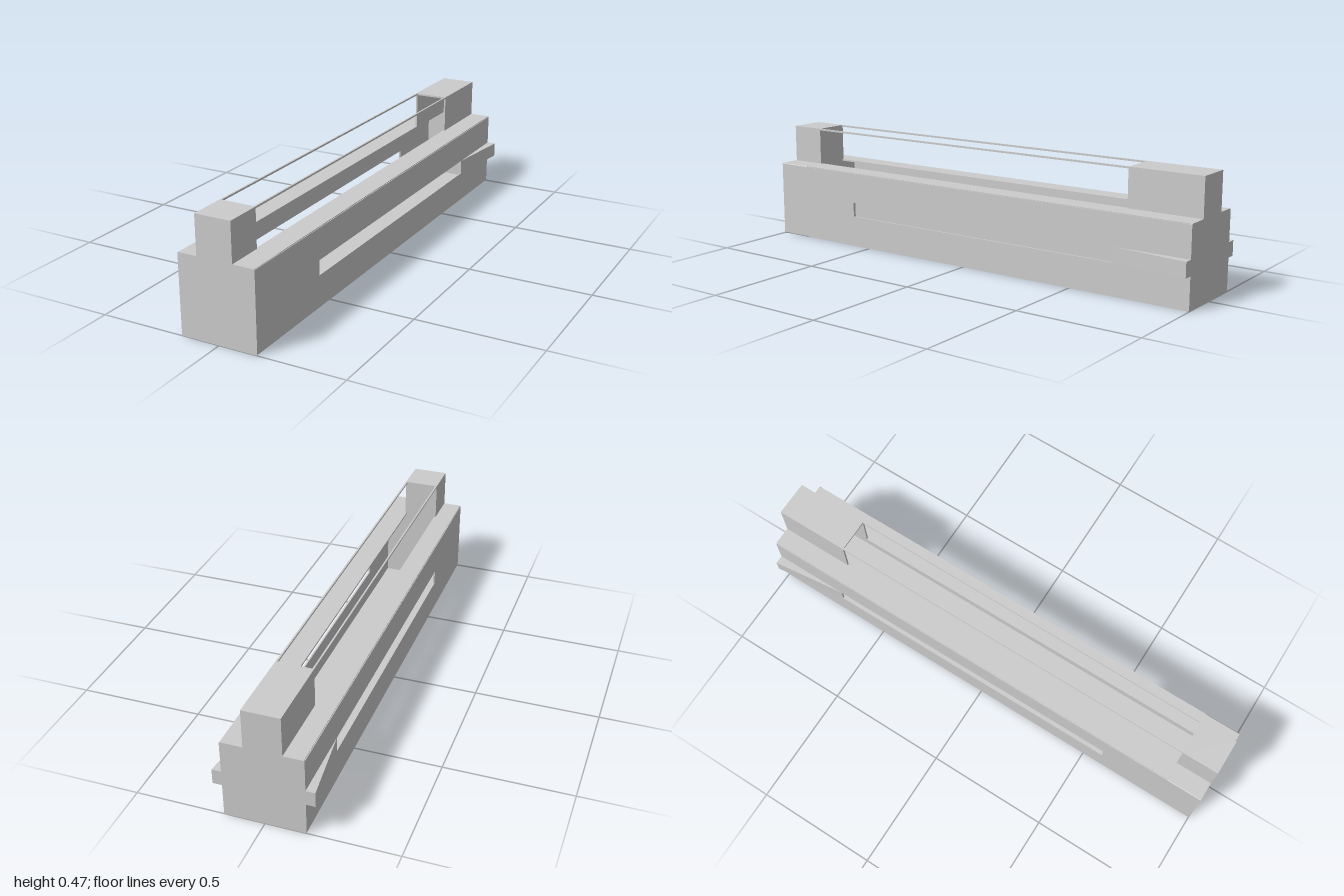
import * as THREE from 'three';

const material = new THREE.MeshStandardMaterial({ color: 0xcccccc, flatShading: true });

// Main dimensions
const W = 0.156, H = 0.318, TOP = 0.473;   // body half width, body height, full height
const X0 = -0.077, X1 = 0.068;             // raised section, slightly off centre
const T = 0.007;                           // wall thickness
const FRONT = 0.85, HOOD = -0.695;         // ends of the long top window
const SLOT = { y0: 0.13, y1: 0.19, z0: -0.69, z1: 0.58 };

export function createModel() {
  const model = new THREE.Group();
  model.name = 'slottedHousing';

  const add = (name, geometry) => {
    const mesh = new THREE.Mesh(geometry, material);
    mesh.name = name;
    model.add(mesh);
    return mesh;
  };

  // Box given by its two extreme corners
  const box = (name, x0, x1, y0, y1, z0, z1) =>
    add(name, new THREE.BoxGeometry(x1 - x0, y1 - y0, z1 - z0))
      .position.set((x0 + x1) / 2, (y0 + y1) / 2, (z0 + z1) / 2);

  const polygon = (points) => new THREE.Shape(points.map(([x, y]) => new THREE.Vector2(x, y)));
  const extrude = (shape, depth) => new THREE.ExtrudeGeometry(shape, { depth, bevelEnabled: false });

  // End pieces share the stepped cross-section, with tiny chamfers on the body
  const c = 0.003;
  const section = polygon([
    [-W + c, 0], [W - c, 0], [W, c], [W, H - c], [W - c, H], [X1, H], [X1, TOP],
    [X0, TOP], [X0, H], [-W + c, H], [-W, H - c], [-W, c],
  ]);
  add('frontBlock', extrude(section, 1 - FRONT)).position.z = FRONT;
  add('backWall', extrude(section, T)).position.z = -1;

  // Hollow body: floor, slotted side walls and top ledges
  const zBack = -1 + T;
  box('floor', -W + c, W - c, 0, T, zBack, FRONT);

  const wall = polygon([[zBack, c], [FRONT, c], [FRONT, H - c], [zBack, H - c]]);
  wall.holes.push(polygon([
    [SLOT.z0, SLOT.y0], [SLOT.z0, SLOT.y1], [SLOT.z1, SLOT.y1], [SLOT.z1, SLOT.y0],
  ]));
  for (const [side, x] of [['left', W], ['right', -W + T]]) {
    const mesh = add(side + 'Wall', extrude(wall, T));
    mesh.rotation.y = -Math.PI / 2;
    mesh.position.x = x;
  }
  box('leftLedge', X1 - T, W - c, H - T, H, zBack, FRONT);
  box('rightLedge', -W + c, X0 + T, H - T, H, zBack, FRONT);

  // Hood at the back, open towards the cavity, and the thin rails ahead of it
  box('hoodTop', X0, X1, TOP - T, TOP, zBack, HOOD);
  for (const [side, x] of [['left', X1 - T], ['right', X0]]) {
    box(side + 'HoodWall', x, x + T, H, TOP - T, zBack, HOOD);
    box(side + 'Rail', x, x + T, TOP - T, TOP, HOOD, FRONT);
  }

  // Flared wings behind the side slots
  for (const [side, s] of [['left', 1], ['right', -1]]) {
    const wing = polygon([
      [s * (W - T), 0.69], [s * W, 0.69], [s * 0.192, 1], [s * (W - T), 1],
    ]);
    const mesh = add(side + 'Wing', extrude(wing, SLOT.y1 - SLOT.y0));
    mesh.rotation.x = -Math.PI / 2;
    mesh.position.y = SLOT.y0;
  }

  return model;
}
